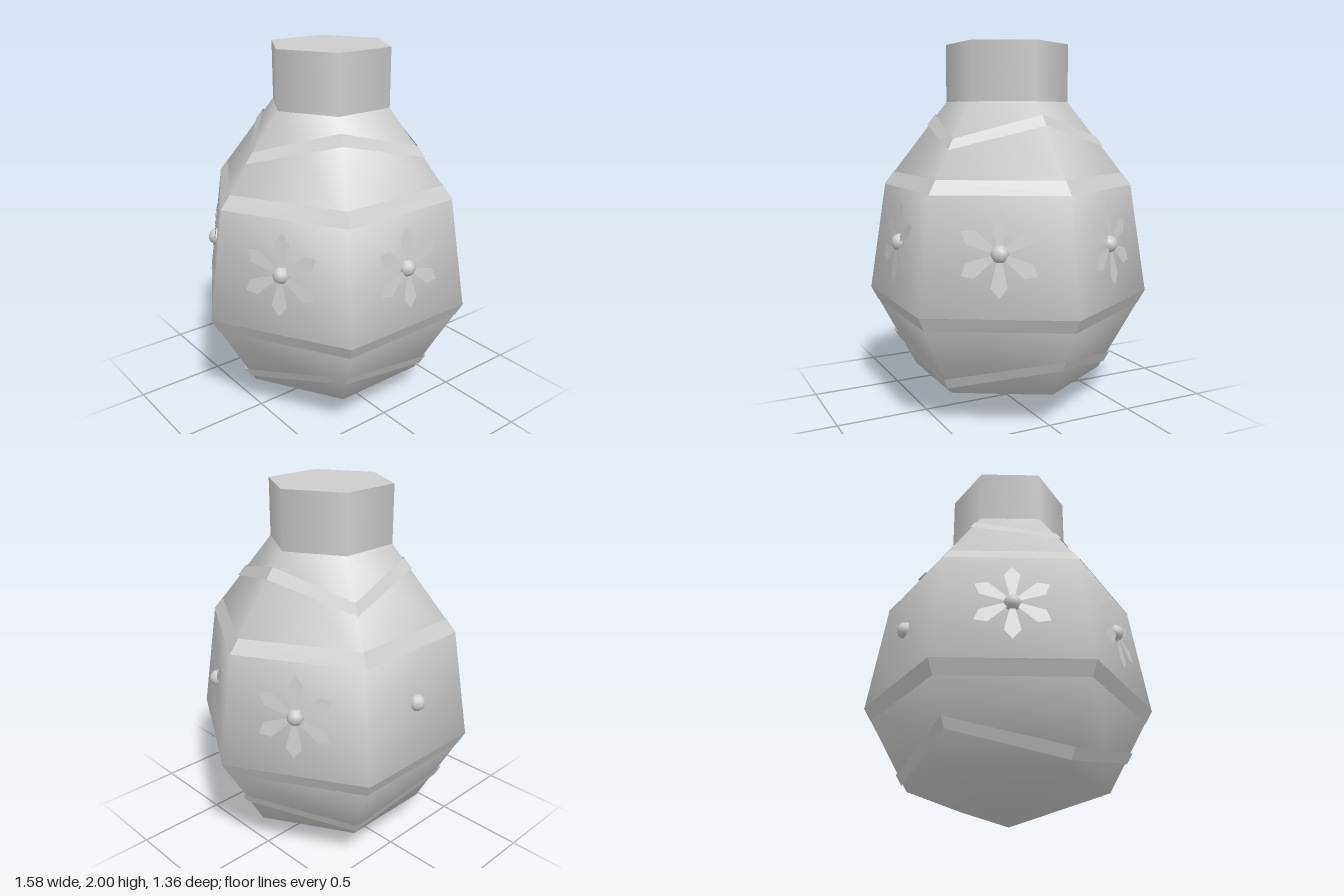
import * as THREE from 'three';

// Body profile as [corner radius, height]
const PROFILE = [[0, 0], [0.53, 0.18], [0.785, 0.64], [0.69, 1.235], [0.335, 1.69]];

function radiusAt(y) {
  for (let i = 1; i < PROFILE.length; i++) {
    const [r0, y0] = PROFILE[i - 1], [r1, y1] = PROFILE[i];
    if (y <= y1) return r0 + (r1 - r0) * (y - y0) / (y1 - y0);
  }
  return PROFILE[PROFILE.length - 1][0];
}

// Six-sided ribbon hugging the body; its height alternates between corners
function ribbon(lowY, highY, width, offset) {
  const point = (i, up) => {
    const a = i * Math.PI / 3;
    const y = (i % 2 ? lowY : highY) + up * width;
    const r = radiusAt(y) + offset;
    return [r * Math.cos(a), y, r * Math.sin(a)];
  };
  const pos = [];
  for (let i = 0; i < 6; i++) {
    const a = point(i, 0), b = point(i, 1), c = point(i + 1, 1), d = point(i + 1, 0);
    pos.push(...a, ...b, ...c, ...a, ...c, ...d);
  }
  const geo = new THREE.BufferGeometry();
  geo.setAttribute('position', new THREE.Float32BufferAttribute(pos, 3));
  geo.computeVertexNormals();
  return geo;
}

export function createModel() {
  const group = new THREE.Group();
  const grey = new THREE.MeshStandardMaterial({ color: 0xcccccc, side: THREE.DoubleSide });
  grey.name = 'light grey';

  const add = (name, geo, parent = group) => {
    const mesh = new THREE.Mesh(geo, grey);
    mesh.name = name;
    parent.add(mesh);
    return mesh;
  };

  // Hexagonal body and neck, corners on the x axis
  const points = PROFILE.map(([r, y]) => new THREE.Vector2(r, y));
  add('body', new THREE.LatheGeometry(points, 6, Math.PI / 2));
  const neck = new THREE.CylinderGeometry(0.335, 0.335, 0.31, 6);
  neck.rotateY(Math.PI / 2);
  add('neck', neck).position.y = 1.845;

  // Straight and zigzag ribbons
  add('lowerBand', ribbon(0.565, 0.565, 0.075, 0.003));
  add('upperBand', ribbon(1.235, 1.235, 0.07, 0.003));
  add('lowerZigzag', ribbon(0.213, 0.34, 0.056, 0.012));
  add('upperZigzag', ribbon(1.447, 1.567, 0.055, 0.012));

  // Petal outline, pointing up
  const petal = new THREE.Shape([
    [-0.014, 0.04], [0.014, 0.04], [0.042, 0.165], [0, 0.216], [-0.042, 0.165],
  ].map(([x, y]) => new THREE.Vector2(x, y)));
  const petalGeo = new THREE.ShapeGeometry(petal);
  const centreGeo = new THREE.SphereGeometry(0.045, 10, 8);

  // A flower on each face; the back face carries only the centre button
  const apothem = Math.cos(Math.PI / 6);
  const tilt = Math.atan((0.785 - 0.69) * apothem / (1.235 - 0.64));
  const y = 0.955;
  for (let i = 0; i < 6; i++) {
    const a = i * Math.PI / 3;
    const d = radiusAt(y) * apothem;
    const flower = new THREE.Group();
    flower.name = i === 3 ? 'backButton' : 'flower';
    flower.position.set(Math.sin(a) * d, y, Math.cos(a) * d);
    flower.rotation.set(-tilt, a, 0, 'YXZ');
    add('flowerCentre', centreGeo, flower);
    for (let k = 0; k < 6 && i !== 3; k++) {
      const p = add('petal', petalGeo, flower);
      p.position.z = 0.012;
      p.rotation.z = k * Math.PI / 3;
    }
    group.add(flower);
  }
  return group;
}
